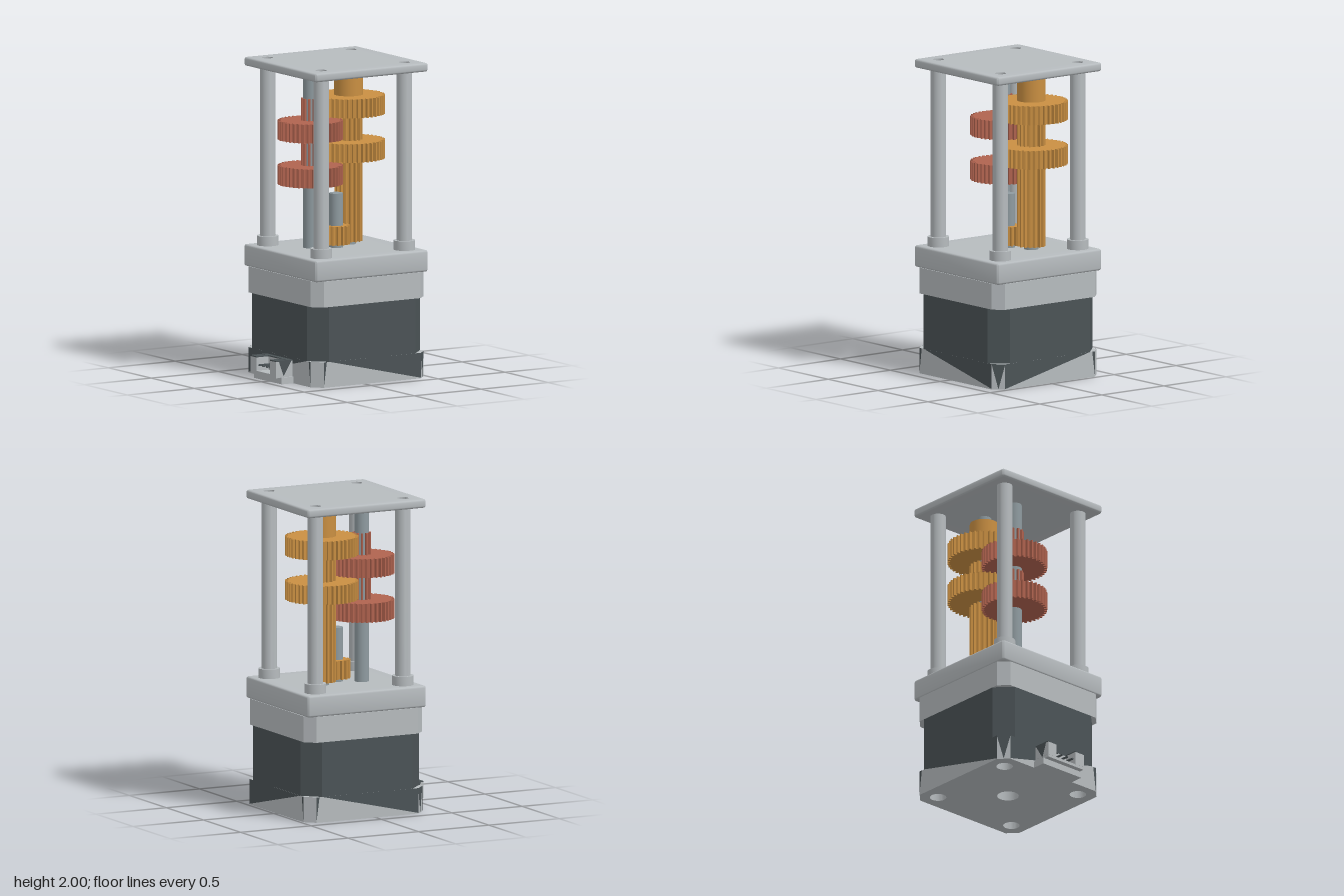
import * as THREE from 'three';
import { toCreasedNormals } from 'three/addons/utils/BufferGeometryUtils.js';

const CX = 0.0585;   // motor axis in x
const S = 0.4215;    // half width of the square frame
const P = 0.311;     // screw hole offset from the axis
const BORE = 0.032;
const SIGNS = [[-1, -1], [1, -1], [1, 1], [-1, 1]];

const mat = (name, color, side = THREE.FrontSide) =>
  Object.assign(new THREE.MeshStandardMaterial({ color, side }), { name });

export function createModel() {
  const model = new THREE.Group();
  model.name = 'gearedMotor';
  const alloy = mat('lightAlloy', 0xb6bbbe);
  const dark = mat('darkHousing', 0x4b5356, THREE.DoubleSide);
  const steel = mat('shaftSteel', 0x8f9ba0);
  const brass = mat('brassGear', 0xc98f42);
  const red = mat('redGear', 0xb0634f);

  const add = (name, geo, material, x = 0, y = 0, z = 0, parent = model) => {
    const m = new THREE.Mesh(geo, material);
    m.name = name;
    m.position.set(x, y, z);
    parent.add(m);
    return m;
  };
  const circle = (x, y, r) => new THREE.Path().absarc(x, y, r, 0, Math.PI * 2, true);

  // extrude a plan shape upwards
  const rise = (shape, h, opts = {}) => {
    const g = new THREE.ExtrudeGeometry(shape, { depth: h, bevelEnabled: false, curveSegments: 16, ...opts });
    return g.rotateX(-Math.PI / 2);
  };
  const smooth = (g) => toCreasedNormals(g, 0.6);

  const polygon = (pts) => new THREE.Shape(pts.map(([x, y]) => new THREE.Vector2(x, y)));
  const drill = (shape, r) => {
    SIGNS.forEach(([sx, sy]) => shape.holes.push(circle(sx * P, sy * P, r)));
    return shape;
  };
  // square with cut corners
  const octagon = (c) => polygon([
    [-S + c, -S], [S - c, -S], [S, -S + c], [S, S - c],
    [S - c, S], [-S + c, S], [-S, S - c], [-S, -S + c]]);

  // plate with rounded rims and straight screw holes
  const plate = (h, r) => {
    const b = 0.014, k = 0.02, s = new THREE.Shape();
    SIGNS.forEach(([sx, sy], i) => {
      const a = Math.PI + i * Math.PI / 2;
      s.absarc(sx * (S - k), sy * (S - k), k, a, a + Math.PI / 2, false);
    });
    const g = rise(drill(s, r), h - 2 * b, {
      bevelEnabled: true, bevelSize: b, bevelThickness: b, bevelOffset: -b, bevelSegments: 3 });
    g.translate(0, b, 0);
    const p = g.attributes.position;
    for (let i = 0; i < p.count; i++) {
      const hx = Math.sign(p.getX(i)) * P, hz = Math.sign(p.getZ(i)) * P;
      const dx = p.getX(i) - hx, dz = p.getZ(i) - hz, d = Math.hypot(dx, dz);
      if (d < 0.06) {
        p.setX(i, hx + dx / d * r);
        p.setZ(i, hz + dz / d * r);
      }
    }
    return smooth(g);
  };

  // motor
  const endCap = drill(octagon(0.06), 0.052);
  endCap.holes.push(circle(0, 0, 0.068));
  add('motorEndCap', smooth(rise(endCap, 0.162)), alloy, CX);
  add('motorBody', smooth(rise(drill(octagon(0.1), BORE), 0.348)), dark, CX, 0.162);
  add('motorFrontCap', smooth(rise(drill(octagon(0.06), BORE), 0.165)), alloy, CX, 0.51);

  // dark wedges on the end cap, mirrored on alternate sides
  const f = S + 0.001, e = S - 0.06, T = 0.162;
  for (let i = 0; i < 4; i++) {
    const g = new THREE.BufferGeometry();
    g.setAttribute('position', new THREE.Float32BufferAttribute([
      -0.32, T, f, e, 0.004, f, e, T, f,
      -e, T, f, -e, 0.004, f, -0.34, T, f,
      e, T, f, (e + S) / 2, 0.004, (e + S) / 2 + 0.001, S, T, e + 0.001], 3));
    if (i % 2) {
      const p = g.attributes.position;
      for (let j = 0; j < p.count; j++) p.setX(j, -p.getX(j));
      g.index = null;
      // restore outward winding after mirroring
      g.setIndex([0, 2, 1, 3, 5, 4, 6, 8, 7]);
    }
    g.computeVertexNormals();
    // order the corners so that the faces point outwards
    const n = g.attributes.normal;
    if (n.getZ(0) < 0) {
      g.setIndex(i % 2 ? [0, 1, 2, 3, 4, 5, 6, 7, 8] : [0, 2, 1, 3, 5, 4, 6, 8, 7]);
      g.computeVertexNormals();
    }
    add('endCapWedges', g, dark, CX).rotation.y = i * Math.PI / 2;
  }

  // gearbox plates
  add('basePlate', plate(0.137, BORE), alloy, CX, 0.673);
  add('topPlate', plate(0.055, 0.035), alloy, CX, 1.945);

  // hollow posts with foot collars
  const tube = (r, h) => {
    const s = new THREE.Shape().absarc(0, 0, r, 0, Math.PI * 2, false);
    s.holes.push(circle(0, 0, BORE));
    return smooth(rise(s, h));
  };
  SIGNS.forEach(([sx, sz]) => {
    add('post', tube(0.049, 1.08), alloy, CX + sx * P, 0.867, sz * P);
    add('postCollar', tube(0.068, 0.06), alloy, CX + sx * P, 0.81, sz * P);
  });

  // shafts
  const rod = (name, r, y0, y1, x, z, material) =>
    add(name, new THREE.CylinderGeometry(r, r, y1 - y0, 32), material, x, (y0 + y1) / 2, z);
  const A = [0.2, -0.075], B = [-0.085, -0.075];
  rod('motorShaft', 0.044, 0.8, 1.155, CX, 0, steel);
  rod('outputShaft', 0.046, 0.8, 1.95, ...A, steel);
  rod('layShaft', 0.046, 0.8, 1.94, ...B, steel);

  // spur gears
  const gear = (name, r, teeth, y0, y1, [x, z], material) => {
    const pts = [], step = Math.PI * 2 / teeth, root = r - 0.018;
    for (let i = 0; i < teeth; i++) {
      [[-0.3, root], [-0.14, r], [0.14, r], [0.3, root]].forEach(([o, q]) => {
        const a = (i + o) * step;
        pts.push([Math.cos(a) * q, Math.sin(a) * q]);
      });
    }
    add(name, rise(polygon(pts), y1 - y0), material, x, y0, z);
  };
  gear('motorPinion', 0.09, 16, 0.83, 0.95, [CX, 0], brass);
  gear('longPinion', 0.09, 16, 0.83, 1.335, A, brass);
  gear('middleGear', 0.231, 44, 1.357, 1.475, A, brass);
  gear('middlePinion', 0.09, 16, 1.475, 1.62, A, brass);
  gear('outputGear', 0.231, 44, 1.64, 1.76, A, brass);
  rod('outputHub', 0.09, 1.76, 1.905, ...A, brass);
  [1.215, 1.5].forEach((y) => {
    gear('layGear', 0.206, 40, y, y + 0.12, B, red);
    gear('layPinion', 0.06, 11, y + 0.12, y + 0.26, B, red);
  });

  // plug socket on the side of the motor
  const socket = new THREE.Group();
  socket.name = 'socket';
  model.add(socket);
  const box = (name, x0, x1, y0, y1, z0, z1, material) =>
    add(name, new THREE.BoxGeometry(x1 - x0, y1 - y0, z1 - z0), material,
      (x0 + x1) / 2, (y0 + y1) / 2, (z0 + z1) / 2, socket);
  const rim = () => {
    const s = polygon([[-0.36, -0.15], [-0.36, 0.15], [-0.485, 0.15], [-0.485, 0.08],
      [-0.395, 0.08], [-0.395, -0.08], [-0.485, -0.08], [-0.485, -0.15]]);
    [-0.12, 0.12].forEach((c) => s.holes.push(new THREE.Path([
      [-0.445, c - 0.012], [-0.445, c + 0.012], [-0.395, c + 0.012], [-0.395, c - 0.012],
    ].map(([x, y]) => new THREE.Vector2(x, y)))));
    return s;
  };
  box('socketFoot', -0.45, -0.36, 0, 0.042, -0.16, 0.16, alloy);
  box('socketFloor', -0.484, -0.36, 0.04, 0.058, -0.149, 0.149, alloy);
  add('socketWalls', rise(rim(), 0.085), alloy, 0, 0.058, 0, socket);
  add('socketRim', rise(rim(), 0.007), dark, 0, 0.143, 0, socket);
  [-0.065, -0.022, 0.022, 0.065].forEach((z) =>
    box('socketPin', -0.475, -0.39, 0.09, 0.1, z - 0.005, z + 0.005, dark));
  // dark wedges on the socket ends
  [-1, 1].forEach((s) => {
    const wedge = new THREE.ShapeGeometry(polygon([[-0.465, 0.145], [-0.43, 0.05], [-0.37, 0.145]]));
    add('socketWedge', wedge, dark, 0, 0, s * 0.151, socket);
  });
  return model;
}
